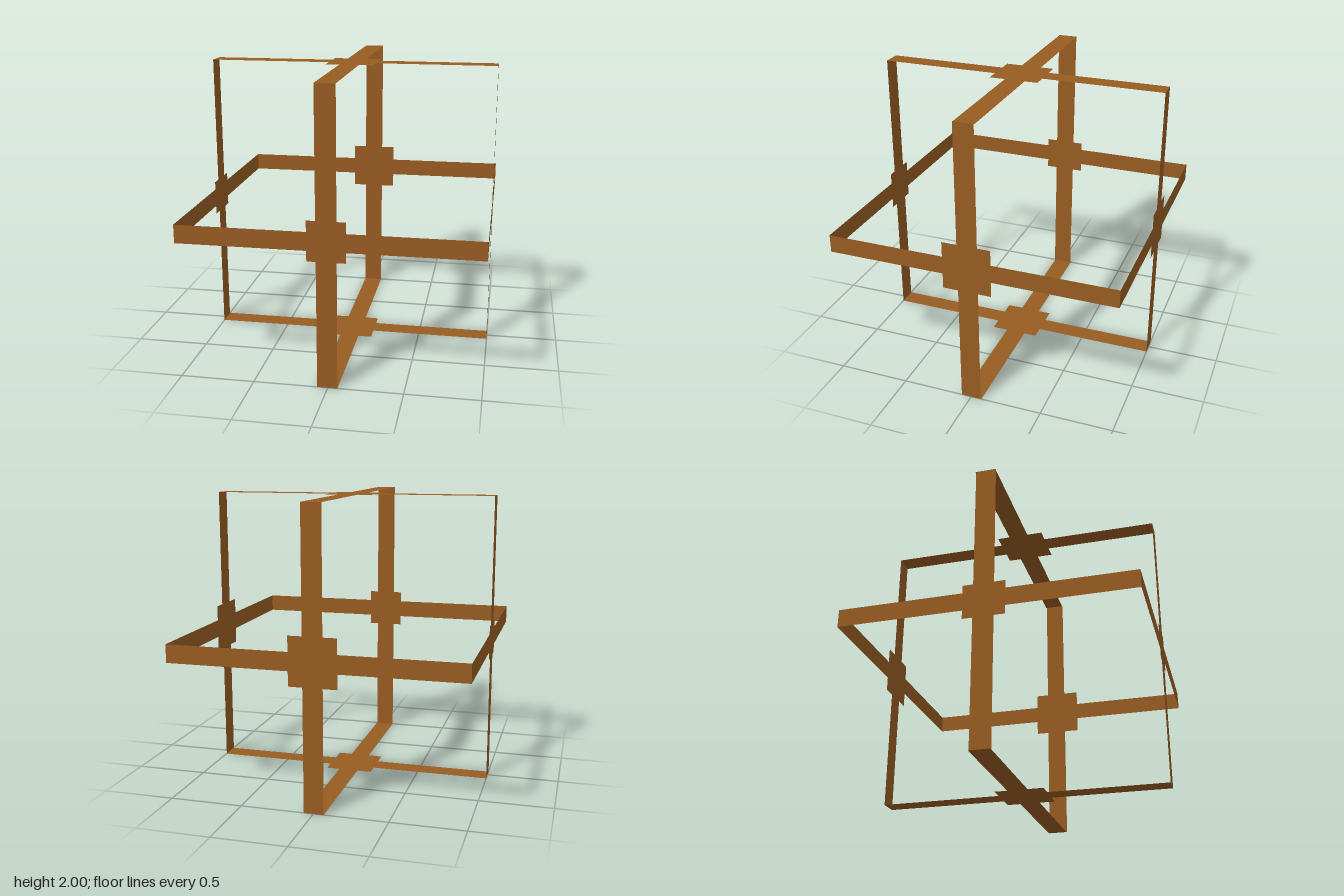
import * as THREE from 'three';

const bronze = new THREE.MeshStandardMaterial({ color: 0x985c22, side: THREE.DoubleSide });
bronze.name = 'bronze';

// Flat cross of two ribbons with a square patch over the crossing.
// a: range of the ribbon running along v, b: range of the ribbon running along u,
// p and q: ranges of the patch in u and v.
function crossGeometry(a, b, p, q) {
  const outline = [
    [a[0], -1], [a[1], -1], [a[1], q[0]], [p[1], q[0]], [p[1], b[0]],
    [1, b[0]], [1, b[1]], [p[1], b[1]], [p[1], q[1]], [a[1], q[1]],
    [a[1], 1], [a[0], 1], [a[0], q[1]], [p[0], q[1]], [p[0], b[1]],
    [-1, b[1]], [-1, b[0]], [p[0], b[0]], [p[0], q[0]], [a[0], q[0]],
  ];
  return new THREE.ShapeGeometry(new THREE.Shape(outline.map(([u, v]) => new THREE.Vector2(u, v))));
}

export function createModel() {
  const group = new THREE.Group();
  group.name = 'ribbonFrame';

  const X = new THREE.Vector3(1, 0, 0);
  const Y = new THREE.Vector3(0, 1, 0);
  const Z = new THREE.Vector3(0, 0, 1);

  // Ribbon widths along each axis
  const alongX = [-0.07, 0.065];
  const alongY = [-0.06, 0.065];
  const sideZ = [-0.07, 0.07];
  const topZ = [-0.075, 0.065];

  // One cross on each of the six sides of a cube; the patches differ in size
  const crosses = [
    ['frontCross', X, Y, Z, 1, alongX, alongY, [-0.13, 0.125], [-0.13, 0.14]],
    ['backCross', X, Y, Z, -1, alongX, alongY, [-0.165, 0.16], [-0.16, 0.17]],
    ['leftCross', Z, Y, X, 1, sideZ, alongY, [-0.16, 0.175], [-0.165, 0.17]],
    ['rightCross', Z, Y, X, -1, sideZ, alongY, [-0.14, 0.145], [-0.12, 0.12]],
    ['topCross', X, Z, Y, 1, alongX, topZ, [-0.165, 0.16], [-0.165, 0.175]],
    ['bottomCross', X, Z, Y, -1, alongX, topZ, [-0.17, 0.16], [-0.165, 0.175]],
  ];

  for (const [name, u, v, axis, side, a, b, p, q] of crosses) {
    const geometry = crossGeometry(a, b, p, q);
    const normal = new THREE.Vector3().crossVectors(u, v);
    geometry.applyMatrix4(new THREE.Matrix4().makeBasis(u, v, normal));
    const cross = new THREE.Mesh(geometry, bronze);
    cross.name = name;
    cross.position.copy(axis).multiplyScalar(side).add(Y);
    group.add(cross);
  }
  return group;
}
